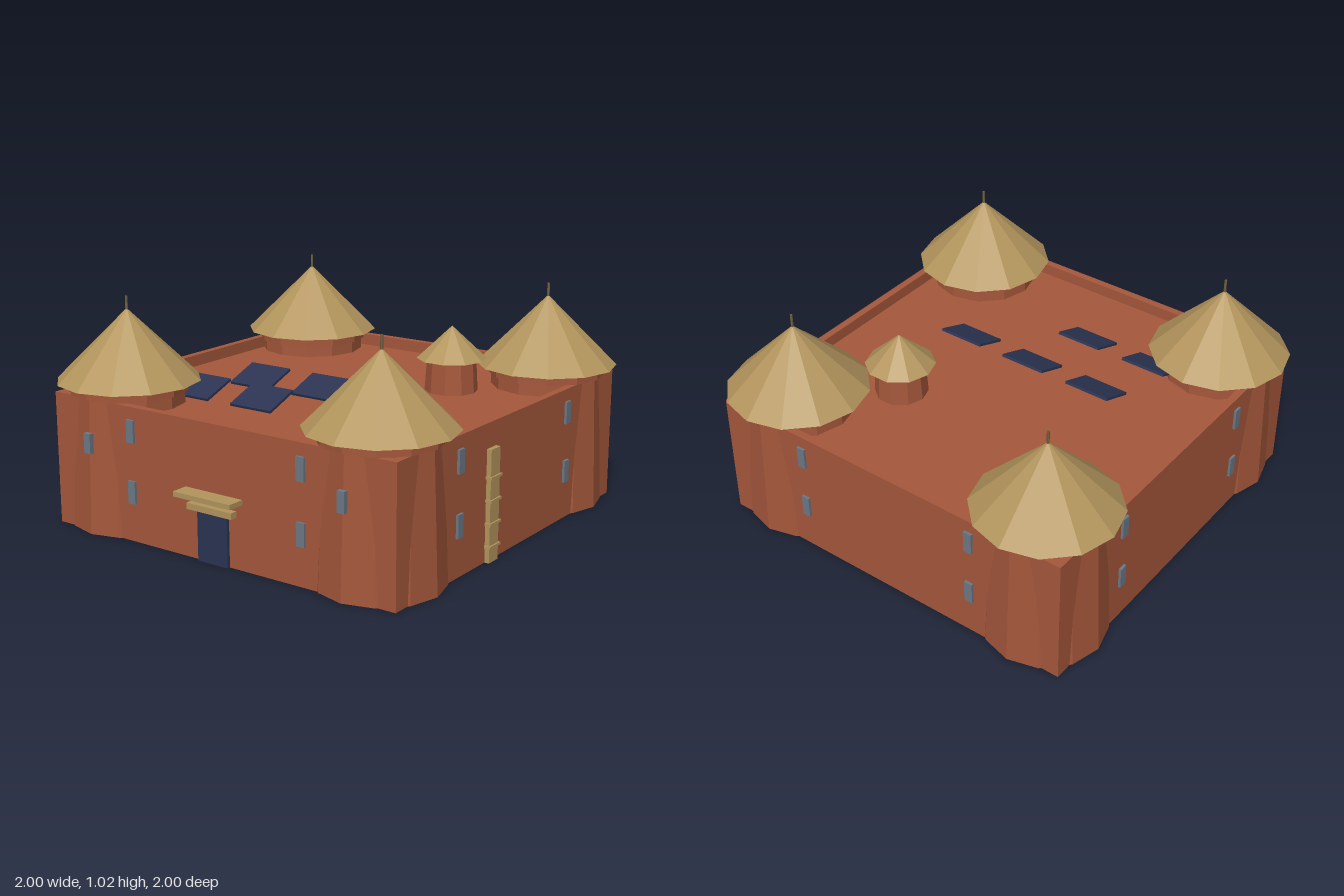
import * as THREE from 'three';

const mat = (name, color) => {
  const m = new THREE.MeshStandardMaterial({ color, flatShading: true });
  m.name = name;
  return m;
};

export function createModel() {
  const clay = mat('red clay', 0xa5573b);
  const straw = mat('straw', 0xb3955d);
  const navy = mat('dark blue', 0x2b3453);
  const glass = mat('grey blue', 0x6c7885);
  const wood = mat('pole wood', 0x6f6040);

  const root = new THREE.Group();
  root.name = 'mudFort';

  const add = (parent, name, geo, material, x = 0, y = 0, z = 0) => {
    const m = new THREE.Mesh(geo, material);
    m.name = name;
    m.position.set(x, y, z);
    parent.add(m);
    return m;
  };
  const box = (parent, name, material, w, h, d, x, y, z) =>
    add(parent, name, new THREE.BoxGeometry(w, h, d), material, x, y, z);

  // Outer walls with parapet: a square ring extruded upward
  const HALF = 0.906, INNER = 0.87, WALL_H = 0.605, FLOOR = 0.55;
  const square = (P, s) => {
    const p = new P();
    p.moveTo(-s, -s); p.lineTo(s, -s); p.lineTo(s, s); p.lineTo(-s, s); p.closePath();
    return p;
  };
  const ring = square(THREE.Shape, HALF);
  ring.holes.push(square(THREE.Path, INNER));
  const wallGeo = new THREE.ExtrudeGeometry(ring, { depth: WALL_H, bevelEnabled: false });
  wallGeo.rotateX(-Math.PI / 2);
  add(root, 'walls', wallGeo, clay);
  box(root, 'roofTerrace', clay, INNER * 2, FLOOR, INNER * 2, 0, FLOOR / 2, 0);

  // Corner towers with thatched cones
  const T = 0.677;
  for (const sx of [-1, 1]) for (const sz of [-1, 1]) {
    const tower = new THREE.Group();
    tower.name = 'cornerTower';
    tower.position.set(sx * T, 0, sz * T);
    root.add(tower);
    add(tower, 'towerBody', new THREE.CylinderGeometry(0.25, 0.274, 0.61, 12), clay, 0, 0.305, 0);
    add(tower, 'towerRim', new THREE.CylinderGeometry(0.265, 0.265, 0.045, 12), clay, 0, 0.6275, 0);
    add(tower, 'thatchRoof', new THREE.ConeGeometry(0.323, 0.32, 12), straw, 0, 0.81, 0);
    add(tower, 'roofPole', new THREE.CylinderGeometry(0.006, 0.006, 0.09, 6), wood, 0, 0.98, 0);
    if (sz > 0) box(tower, 'towerWindow', glass, 0.036, 0.09, 0.03, 0, 0.415, 0.261);
  }

  // Windows, four on each wall
  for (let i = 0; i < 4; i++) {
    const side = new THREE.Group();
    side.name = 'wallWindows';
    side.rotation.y = i * Math.PI / 2;
    root.add(side);
    for (const x of [-0.455, 0.455]) for (const y of [0.225, 0.498])
      box(side, 'window', glass, 0.04, 0.102, 0.02, x, y, HALF + 0.002);
  }

  // Entrance with lintel and canopy
  box(root, 'door', navy, 0.16, 0.226, 0.03, 0, 0.113, HALF);
  box(root, 'lintel', straw, 0.24, 0.028, 0.05, 0, 0.24, HALF + 0.01);
  box(root, 'canopy', straw, 0.305, 0.022, 0.09, 0, 0.298, HALF + 0.036);

  // Ladder leaning flat on the left wall
  const ladder = new THREE.Group();
  ladder.name = 'ladder';
  ladder.position.set(HALF, 0, 0.205);
  root.add(ladder);
  box(ladder, 'ladderBoard', straw, 0.022, 0.495, 0.072, 0.011, 0.2475, 0);
  for (let i = 0; i < 4; i++)
    box(ladder, 'rung', straw, 0.03, 0.012, 0.086, 0.015, 0.07 + i * 0.101, 0);

  // Small rooftop turret
  const turret = new THREE.Group();
  turret.name = 'roofTurret';
  turret.position.set(0.381, 0, -0.325);
  turret.rotation.y = Math.PI / 2;
  root.add(turret);
  add(turret, 'turretBody', new THREE.CylinderGeometry(0.112, 0.122, 0.16, 10), clay, 0, 0.625, 0);
  add(turret, 'turretRoof', new THREE.ConeGeometry(0.16, 0.15, 10), straw, 0, 0.775, 0);

  // Tilted solar panels
  const panels = [[-0.355, 0.15], [-0.003, 0.15], [0.35, 0.15], [-0.457, 0.453], [-0.105, 0.453]];
  for (const [x, z] of panels)
    box(root, 'solarPanel', navy, 0.222, 0.012, 0.172, x, 0.602, z).rotation.x = 0.36;

  return root;
}
